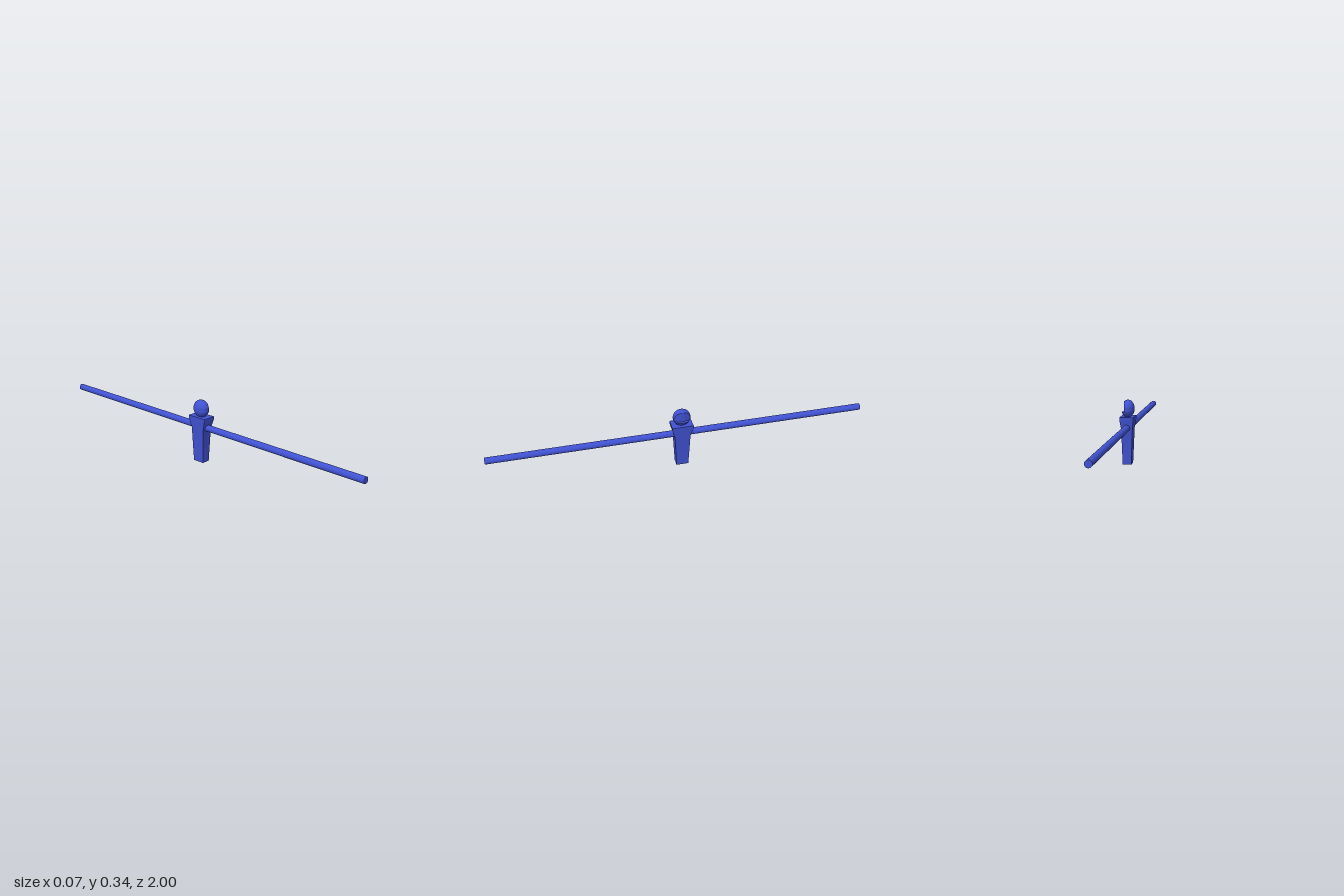
import * as THREE from 'three';
import { toCreasedNormals } from 'three/addons/utils/BufferGeometryUtils.js';

const CENTER_Z = -0.008;

// Move every vertex of a geometry by a rule
function reshape(geometry, rule) {
  const p = geometry.attributes.position;
  const v = new THREE.Vector3();
  for (let i = 0; i < p.count; i++) {
    v.fromBufferAttribute(p, i);
    rule(v);
    p.setXYZ(i, v.x, v.y, v.z);
  }
  return toCreasedNormals(geometry, 0.45);
}

// Tapered torso: rows of [height, half width x, half depth z]
function bodyGeometry() {
  const rows = [
    [0, 0.0225, 0.032],
    [0.185, 0.029, 0.041],
    [0.235, 0.036, 0.056],
    [0.25, 0.036, 0.056],
  ];
  return reshape(new THREE.BoxGeometry(2, 3, 2, 1, 3, 1), (v) => {
    const [y, hx, hz] = rows[Math.round(v.y + 1.5)];
    v.set(v.x * hx, y, v.z * hz);
  });
}

// Egg-shaped head with a face notch cut into its +x side
function headGeometry() {
  return reshape(new THREE.SphereGeometry(1, 64, 48), (v) => {
    v.set(v.x * 0.034, v.y * 0.046, v.z * 0.046);
    if (v.y > -0.016 && v.y < 0.035) {
      const face = 0.022 - 0.21 * Math.abs(v.z);
      v.x = Math.min(v.x, face);
    }
  });
}

export function createModel() {
  const model = new THREE.Group();
  const material = new THREE.MeshStandardMaterial({ color: 0x4152d2 });
  const add = (name, geometry, y, z) => {
    const mesh = new THREE.Mesh(geometry, material);
    mesh.name = name;
    mesh.position.set(0, y, z);
    model.add(mesh);
  };

  add('body', bodyGeometry(), 0, CENTER_Z);
  add('head', headGeometry(), 0.29, CENTER_Z);

  // Long rod through the chest
  const rod = new THREE.CylinderGeometry(0.0175, 0.0175, 2, 32).rotateX(Math.PI / 2);
  add('rod', rod, 0.1925, 0);

  return model;
}
